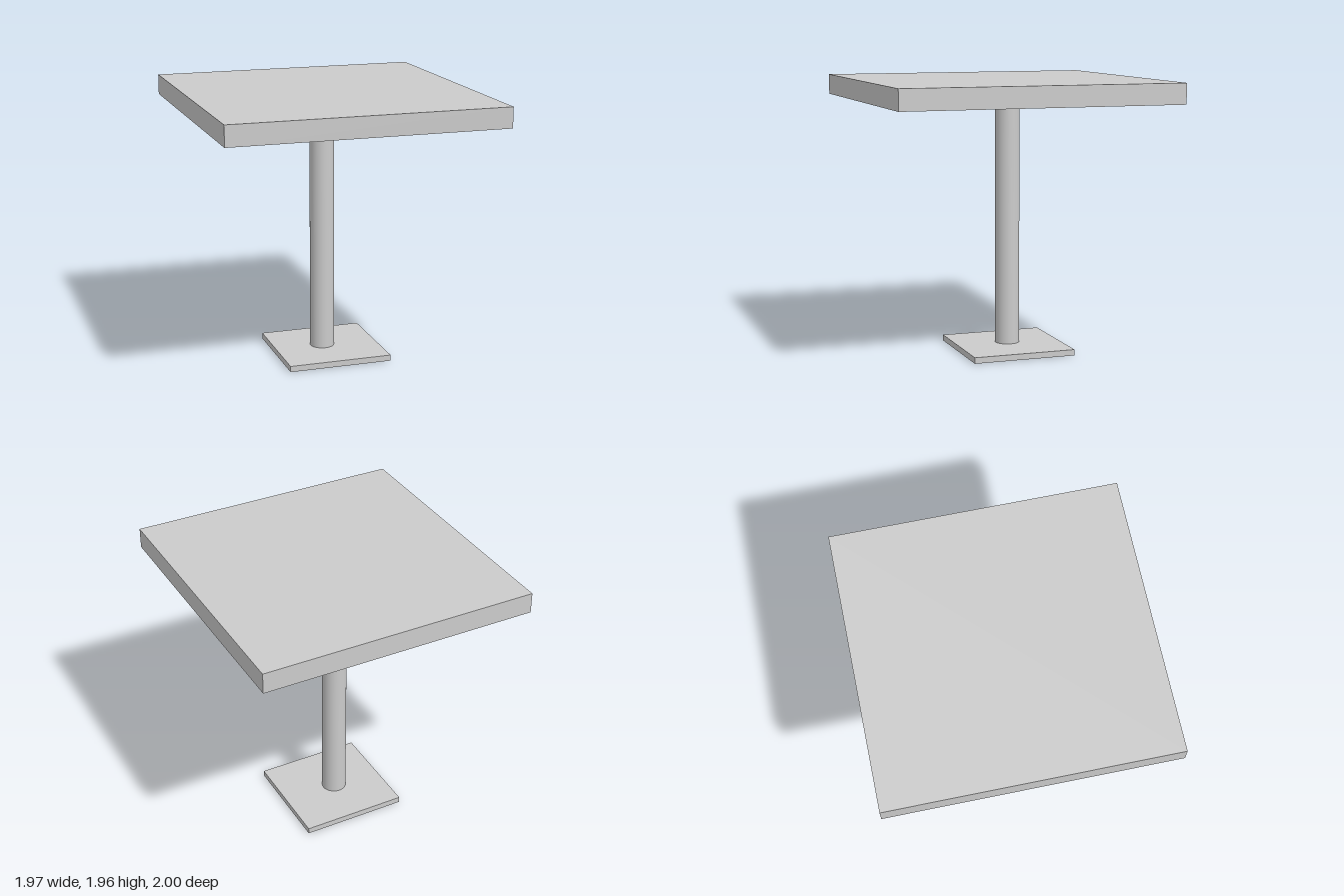
import * as THREE from 'three';

const material = new THREE.MeshStandardMaterial({ color: 0xcccccc });

function addPart(group, name, geometry, x, y, z) {
  const mesh = new THREE.Mesh(geometry, material);
  mesh.name = name;
  mesh.position.set(x, y, z);
  group.add(mesh);
}

export function createModel() {
  const table = new THREE.Group();
  table.name = 'pedestalTable';

  const baseTop = 0.043, topBottom = 1.814, topTop = 1.96;

  // Thick square top
  addPart(table, 'tableTop', new THREE.BoxGeometry(1.966, topTop - topBottom, 2),
    0, (topTop + topBottom) / 2, 0);

  // Round column, set slightly towards the back
  addPart(table, 'column', new THREE.CylinderGeometry(0.088, 0.088, topBottom - baseTop, 32),
    -0.002, (topBottom + baseTop) / 2, -0.072);

  // Thin foot plate
  addPart(table, 'basePlate', new THREE.BoxGeometry(0.757, baseTop, 0.748),
    0.021, baseTop / 2, -0.067);

  return table;
}
